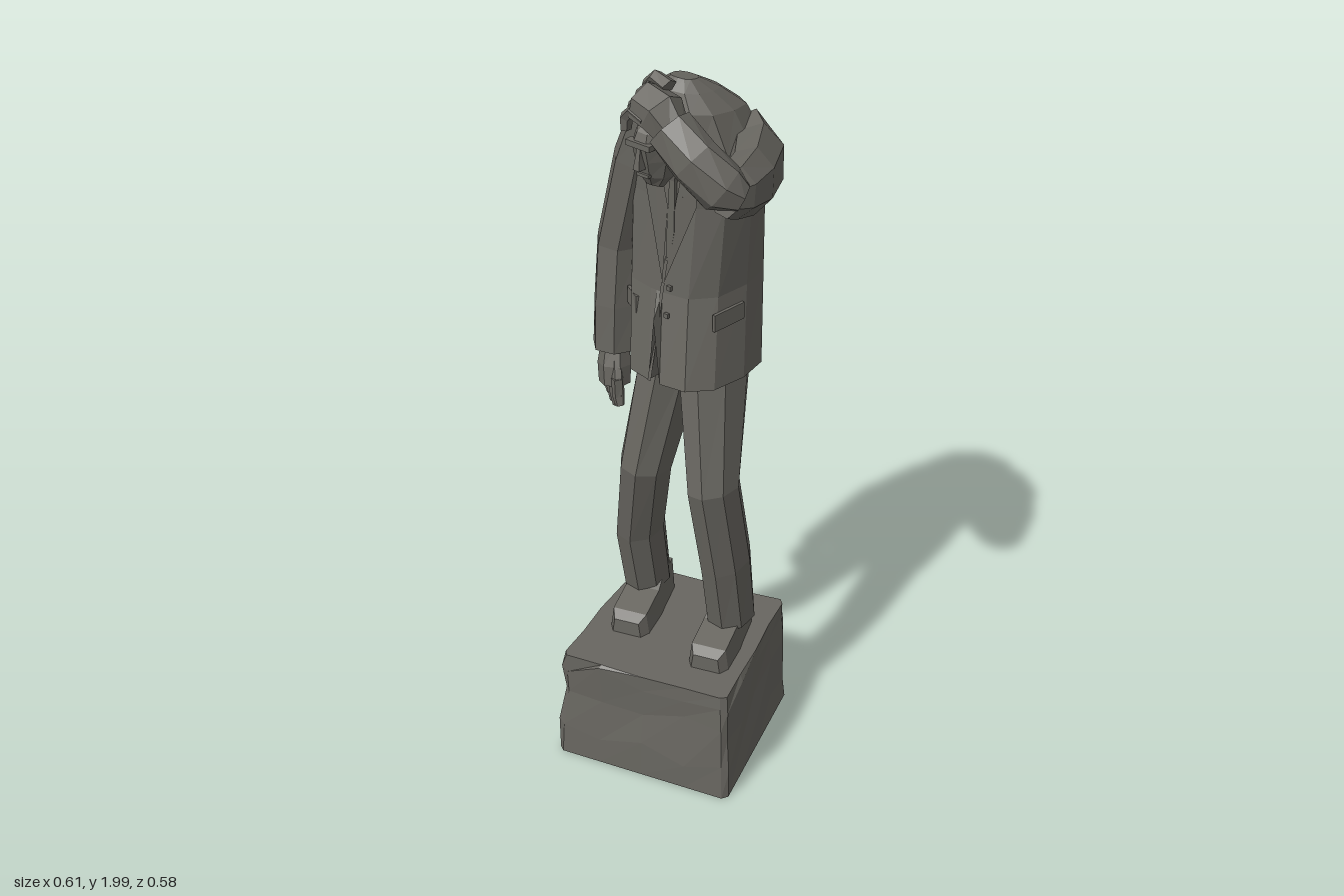
import * as THREE from 'three';

const stone = new THREE.MeshStandardMaterial({ color: 0x686660, flatShading: true, side: THREE.DoubleSide });
stone.name = 'dark stone';

// seeded random for the rough plinth
let seed = 11;
const rnd = () => (seed = (seed * 16807) % 2147483647) / 2147483647;
const V = (x, y, z) => new THREE.Vector3(x, y, z);

function fromTriangles(name, tris) {
  const g = new THREE.BufferGeometry().setFromPoints(tris);
  g.computeVertexNormals();
  const m = new THREE.Mesh(g, stone);
  m.name = name;
  return m;
}

// skin a stack of rings (each counter-clockwise about the stacking direction) and cap both ends
function loft(name, rings) {
  const t = [], n = rings[0].length;
  for (let r = 0; r + 1 < rings.length; r++)
    for (let i = 0; i < n; i++) {
      const j = (i + 1) % n, a = rings[r], b = rings[r + 1];
      t.push(a[i], a[j], b[j], a[i], b[j], b[i]);
    }
  const centre = ring => ring.reduce((s, p) => s.add(p), V(0, 0, 0)).divideScalar(n);
  const lo = rings[0], hi = rings[rings.length - 1], cl = centre(lo), ch = centre(hi);
  for (let i = 0; i < n; i++) {
    const j = (i + 1) % n;
    t.push(cl, lo[j], lo[i], ch, hi[i], hi[j]);
  }
  return fromTriangles(name, t);
}

// faceted limb through points [x, y, z, halfWidth, halfDepth]
function limb(name, pts, sides = 7, ref = V(0, 0, 1)) {
  const p = pts.map(a => V(a[0], a[1], a[2]));
  const rings = pts.map((a, k) => {
    const t = p[Math.min(k + 1, p.length - 1)].clone().sub(p[Math.max(k - 1, 0)]).normalize();
    const u = ref.clone().cross(t).normalize(), v = t.clone().cross(u);
    return Array.from({ length: sides }, (_, i) => {
      const q = (i + 0.5) / sides * Math.PI * 2;
      return p[k].clone().addScaledVector(u, a[3] * Math.cos(q)).addScaledVector(v, a[4] * Math.sin(q));
    });
  });
  return loft(name, rings);
}

// thin flat piece of cloth as a fan
function plate(name, pts) {
  const t = [], p = pts.map(a => V(...a));
  for (let i = 1; i + 1 < p.length; i++) t.push(p[0], p[i], p[i + 1]);
  return fromTriangles(name, t);
}

function box(name, w, h, d, x, y, z, ry = 0) {
  const m = new THREE.Mesh(new THREE.BoxGeometry(w, h, d), stone);
  m.position.set(x, y, z);
  m.rotation.y = ry;
  m.name = name;
  return m;
}

function plinth() {
  const corners = [[-0.205, 0.293], [0.275, 0.16], [0.125, -0.295], [-0.307, -0.163]];
  const rings = [[0, 0.995, 0], [0.09, 0.985, 0.015], [0.2, 0.965, 0.03], [0.29, 0.965, 0.025], [0.325, 0.945, 0.02]].map(([y, s, rough]) => {
    const ring = [];
    corners.forEach((c, i) => {
      const d = corners[(i + 1) % 4];
      for (const f of [0.03, 0.25, 0.5, 0.75, 0.97]) {
        const k = s - rough * (rnd() * 2 - 0.8);
        const dy = y > 0 && y < 0.3 ? (rnd() - 0.5) * 0.06 : 0;
        ring.push(V((c[0] + (d[0] - c[0]) * f) * k, y + dy, (c[1] + (d[1] - c[1]) * f) * k));
      }
    });
    return ring;
  });
  return loft('plinth', rings);
}

// jacket cross-section: outline fitted to a rectangle, with a front opening and a back vent
const outline = [[0, 1], [0.12, 1], [0.6, 0.92], [0.92, 0.55], [1, -0.1], [0.88, -0.7], [0.45, -0.96], [0.06, -1],
  [0, -1], [-0.06, -1], [-0.45, -0.94], [-0.85, -0.66], [-1, -0.1], [-0.92, 0.55], [-0.6, 0.92], [-0.12, 1]];
function jacketRing(y, x0, x1, z0, z1, tilt = 0, hem = false) {
  return outline.map(([a, b], i) => V((x0 + x1) / 2 + a * (x1 - x0) / 2,
    y - b * tilt + (hem && i === 0 ? 0.17 : hem && i === 8 ? 0.1 : 0), (z0 + z1) / 2 + b * (z1 - z0) / 2));
}

function shoe(name, x, z) {
  const rings = [[-0.075, 0.042, 0.1], [0.01, 0.05, 0.1], [0.05, 0.055, 0.08], [0.14, 0.055, 0.062], [0.165, 0.04, 0.045]]
    .map(([d, w, h]) => [V(-w, 0, d), V(w, 0, d), V(w * 0.85, h, d), V(-w * 0.85, h, d)]);
  const m = loft(name, rings);
  m.position.set(x, 0.322, z);
  m.rotation.y = 0.32;
  return m;
}

export function createModel() {
  const g = new THREE.Group();
  g.name = 'statue';
  g.add(plinth());

  // legs and shoes
  g.add(limb('rightTrouserLeg', [[-0.075, 1.26, -0.05, 0.08, 0.11], [-0.08, 1.13, -0.05, 0.075, 0.108], [-0.108, 0.84, 0.025, 0.064, 0.078],
    [-0.165, 0.6, -0.015, 0.06, 0.075], [-0.175, 0.4, -0.055, 0.058, 0.07]].reverse(), 8));
  g.add(limb('leftTrouserLeg', [[0.03, 1.26, -0.06, 0.08, 0.11], [0.05, 1.13, -0.055, 0.075, 0.108], [0.106, 0.85, 0.015, 0.06, 0.08],
    [0.108, 0.6, -0.035, 0.06, 0.078], [0.1, 0.4, -0.07, 0.062, 0.072]].reverse(), 8));
  g.add(shoe('rightShoe', -0.167, -0.052), shoe('leftShoe', 0.09, -0.068));

  // jacket body, stooped forward with its highest ridge near the front
  g.add(loft('jacket', [
    jacketRing(1.14, -0.16, 0.13, -0.208, 0.1, -0.008, true),
    jacketRing(1.38, -0.185, 0.112, -0.23, 0.062),
    jacketRing(1.62, -0.188, 0.13, -0.202, 0.05),
    jacketRing(1.75, -0.166, 0.14, -0.185, 0.055, -0.01),
    jacketRing(1.845, -0.115, 0.1, -0.15, 0.058, -0.012),
    jacketRing(1.89, -0.08, 0.06, -0.09, 0.045, -0.008),
    jacketRing(1.92, -0.035, 0.03, -0.03, 0.025, -0.004)]));

  // lapels, shirt front, tie and pocket flaps
  g.add(plate('rightLapel', [[-0.045, 1.83, 0.066], [-0.085, 1.71, 0.06], [-0.06, 1.69, 0.061], [-0.07, 1.66, 0.06], [-0.015, 1.41, 0.066], [0.005, 1.62, 0.068]]));
  g.add(plate('leftLapel', [[0.03, 1.64, 0.068], [-0.01, 1.41, 0.066], [0.085, 1.64, 0.058], [0.08, 1.68, 0.06], [0.105, 1.7, 0.058], [0.07, 1.82, 0.066]]));
  g.add(plate('shirtFront', [[-0.02, 1.78, 0.06], [-0.012, 1.46, 0.062], [0.06, 1.78, 0.06]]));
  g.add(limb('tie', [[0, 1.47, 0.06, 0.008, 0.006], [0.012, 1.56, 0.06, 0.016, 0.01], [0.02, 1.69, 0.064, 0.011, 0.01], [0.024, 1.72, 0.068, 0.018, 0.014]], 4));
  g.add(plate('jacketFrontEdge', [[-0.018, 1.41, 0.066], [-0.032, 1.15, 0.104], [-0.022, 1.15, 0.104], [-0.008, 1.41, 0.066]]));
  g.add(box('leftPocketFlap', 0.008, 0.045, 0.1, 0.111, 1.32, -0.03, -0.11));
  g.add(box('rightPocketFlap', 0.06, 0.045, 0.008, -0.122, 1.32, 0.05, -0.5));
  for (const y of [1.4, 1.33]) g.add(box('button', 0.012, 0.012, 0.008, 0.005, y, 0.064 + (1.4 - y) * 0.15));

  // hanging right arm, set forward of the back, with relaxed hand
  g.add(limb('rightSleeve', [[-0.2, 1.155, 0.025, 0.058, 0.068], [-0.2, 1.28, 0.014, 0.058, 0.075], [-0.2, 1.44, -0.005, 0.058, 0.08],
    [-0.145, 1.68, -0.01, 0.058, 0.078], [-0.11, 1.79, -0.01, 0.048, 0.068], [-0.065, 1.86, -0.01, 0.02, 0.04]], 7));
  g.add(limb('rightPalm', [[-0.188, 1.06, 0.05, 0.042, 0.038], [-0.193, 1.11, 0.045, 0.044, 0.04], [-0.2, 1.18, 0.03, 0.034, 0.034]], 6));
  for (let i = 0; i < 4; i++) {
    const x = -0.218 + i * 0.02, z = 0.034 + i * 0.012;
    g.add(limb('rightFinger', [[x + 0.008, 1.0 + Math.abs(i - 1.5) * 0.01, z + 0.004, 0.011, 0.013], [x, 1.04, z, 0.015, 0.018], [x - 0.002, 1.09, z, 0.015, 0.018]], 5));
  }
  g.add(limb('rightThumb', [[-0.155, 1.04, 0.075, 0.01, 0.01], [-0.16, 1.09, 0.07, 0.014, 0.014], [-0.18, 1.14, 0.05, 0.014, 0.014]], 5));

  // raised left arm, hand shielding the brow
  const up = V(0, 1, 0);
  g.add(limb('leftUpperSleeve', [[0.08, 1.73, -0.14, 0.05, 0.095], [0.14, 1.715, -0.09, 0.07, 0.1], [0.215, 1.735, 0.03, 0.06, 0.082],
    [0.25, 1.755, 0.13, 0.054, 0.062], [0.262, 1.765, 0.175, 0.036, 0.05]], 7, up));
  g.add(limb('leftForearmSleeve', [[0.285, 1.758, 0.145, 0.036, 0.036], [0.25, 1.78, 0.17, 0.056, 0.062], [0.19, 1.84, 0.198, 0.055, 0.062],
    [0.122, 1.896, 0.2, 0.054, 0.058]], 7, up));
  g.add(limb('leftPalm', [[0.14, 1.88, 0.2, 0.035, 0.04], [0.095, 1.925, 0.195, 0.058, 0.052], [0.045, 1.935, 0.192, 0.054, 0.05]], 6, up));
  for (let i = 0; i < 4; i++) {
    const z = 0.15 + i * 0.025, y = 1.966 - i * 0.018;
    g.add(limb('leftFinger', [[0.08, y, z, 0.016, 0.024], [0.04, y + 0.012, z - 0.002, 0.016, 0.02], [0.018, y - 0.01, z - 0.002, 0.015, 0.017],
      [0.016, y - 0.04, z - 0.002, 0.012, 0.014]], 5));
  }
  g.add(limb('leftThumb', [[0.1, 1.91, 0.165, 0.014, 0.016], [0.07, 1.89, 0.145, 0.013, 0.014], [0.05, 1.87, 0.14, 0.009, 0.01]], 5, up));

  // bowed head and neck
  g.add(limb('neck', [[0.005, 1.77, 0.0, 0.04, 0.04], [0.02, 1.79, 0.06, 0.038, 0.04], [0.035, 1.8, 0.12, 0.036, 0.04]], 7, up));
  g.add(limb('collar', [[0.0, 1.79, 0.02, 0.062, 0.06], [0.018, 1.8, 0.07, 0.05, 0.052]], 7, up));
  g.add(limb('head', [[0.036, 1.715, 0.15, 0.02, 0.022], [0.036, 1.74, 0.14, 0.036, 0.048], [0.037, 1.79, 0.136, 0.047, 0.065],
    [0.038, 1.835, 0.14, 0.05, 0.072], [0.039, 1.868, 0.145, 0.038, 0.055], [0.04, 1.885, 0.15, 0.016, 0.025]], 8));
  g.add(limb('nose', [[0.036, 1.772, 0.203, 0.013, 0.016], [0.037, 1.8, 0.202, 0.009, 0.012], [0.038, 1.83, 0.2, 0.007, 0.008]], 4));
  g.add(box('brow', 0.07, 0.014, 0.02, 0.037, 1.832, 0.2));
  g.add(box('mouth', 0.034, 0.008, 0.012, 0.036, 1.753, 0.186));
  for (const s of [-1, 1]) g.add(box('ear', 0.012, 0.04, 0.025, 0.038 + s * 0.05, 1.8, 0.13, s * 0.3));
  return g;
}
